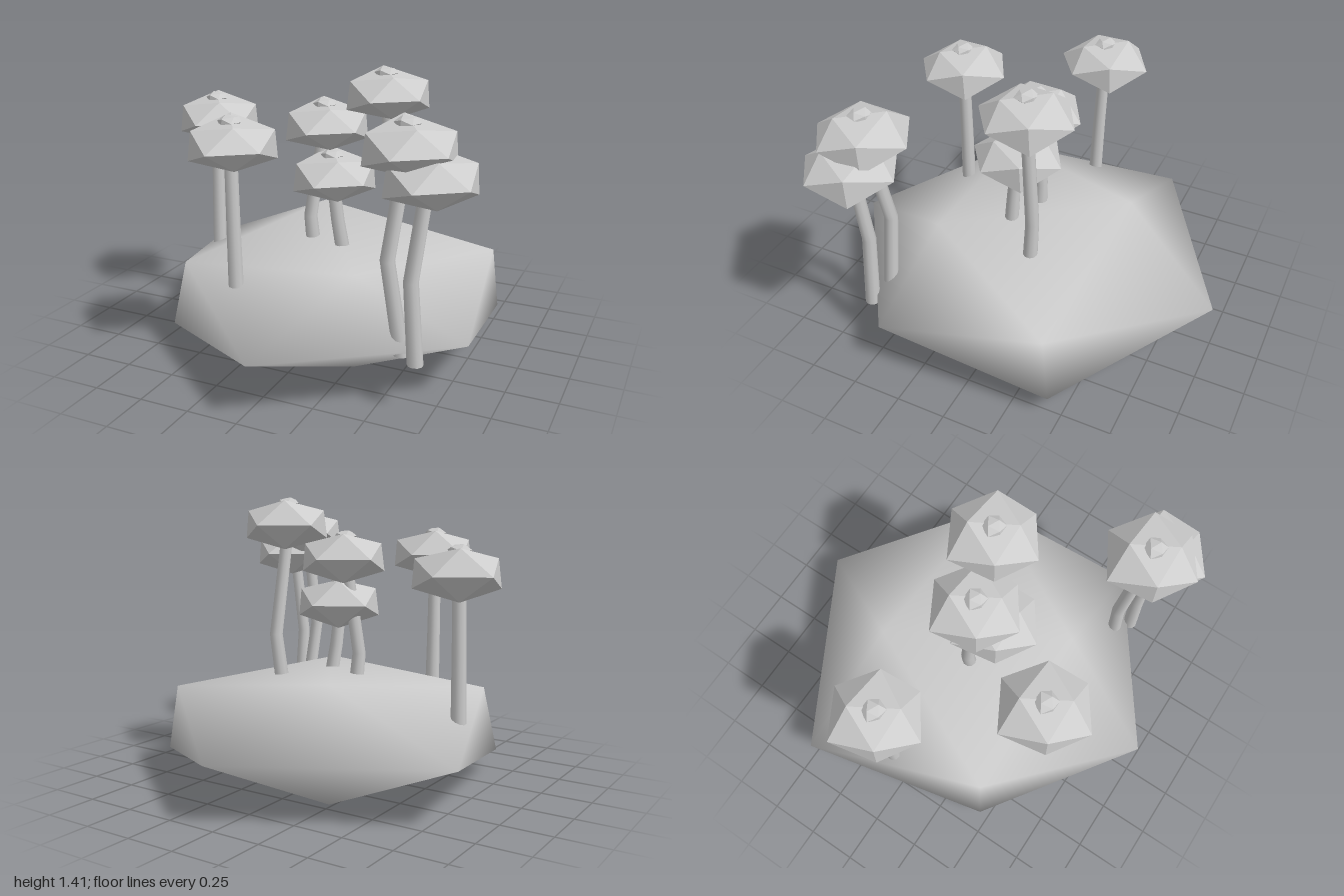
import * as THREE from 'three';
import { mergeVertices } from 'three/addons/utils/BufferGeometryUtils.js';
import { ConvexGeometry } from 'three/addons/geometries/ConvexGeometry.js';

// Squashed twenty-sided boulder, shared by the island, crowns and buds
const CORNERS = [
  [0.05, 0, -1], [0.05, 0, 0.99], [0.86, 0, 0.42], [-0.9, 0, -0.47],
  [0.3, 0.235, 0.4], [0.3, -0.235, 0.4], [-0.23, 0.285, -0.445], [-0.23, -0.285, -0.445],
  [-0.61, 0.16, 0.42], [-0.67, -0.17, 0.46], [0.75, 0.155, -0.4], [0.78, -0.17, -0.44],
];

function boulder(radius, height) {
  return new ConvexGeometry(CORNERS.map(([x, y, z]) => new THREE.Vector3(x * radius, y * height, z * radius)));
}

// Tapered cylinder whose three rings follow the foot, bend and top points
function trunkGeometry(path) {
  const geo = new THREE.CylinderGeometry(0.031, 0.037, 1, 10, 2);
  const pos = geo.attributes.position;
  for (let i = 0; i < pos.count; i++) {
    const p = path[Math.round((pos.getY(i) + 0.5) * 2)];
    pos.setXYZ(i, pos.getX(i) + p[0], p[1], pos.getZ(i) + p[2]);
  }
  return geo;
}

// crown centre, then trunk foot and bend
const TREES = [
  { crown: [-0.7, 1.08, -0.085], foot: [-0.7, 0.36, -0.06], bend: [-0.7, 0.7, -0.07] },
  { crown: [-0.26, 1.12, 0.53], foot: [-0.255, 0.425, 0.53], bend: [-0.258, 0.7, 0.53] },
  { crown: [-0.03, 1.12, 0.005], foot: [-0.095, 0.52, 0.01], bend: [-0.108, 0.64, 0.01] },
  { crown: [0.255, 1.28, -0.085], foot: [0.285, 0.5, -0.115], bend: [0.303, 0.72, -0.135] },
  { crown: [0.04, 0.885, 0.07], foot: [0.105, 0.5, 0.08], bend: [0.075, 0.66, 0.08] },
  { crown: [0.6, 1.205, 0.565], foot: [0.585, 0.24, 0.53], bend: [0.51, 0.68, 0.53] },
  { crown: [0.7, 1.085, 0.58], foot: [0.67, 0.235, 0.585], bend: [0.638, 0.62, 0.58] },
];

export function createModel() {
  const model = new THREE.Group();
  model.name = 'treeIsland';
  const grey = new THREE.MeshStandardMaterial({ color: 0xcccccc });
  grey.name = 'light grey';

  const add = (parent, name, geometry, x = 0, y = 0, z = 0) => {
    const mesh = new THREE.Mesh(geometry, grey);
    mesh.name = name;
    mesh.position.set(x, y, z);
    parent.add(mesh);
    return mesh;
  };

  // Smooth-shaded island
  let islandGeo = boulder(1, 1);
  islandGeo.deleteAttribute('normal');
  islandGeo = mergeVertices(islandGeo, 1e-4);
  islandGeo.computeVertexNormals();
  add(model, 'island', islandGeo, 0, 0.287, 0);

  // Trees: bent trunk, faceted crown and a small bud on top
  const crownGeo = boulder(0.24, 0.42);
  const budGeo = boulder(0.06, 0.1);
  TREES.forEach(({ crown, foot, bend }, i) => {
    const tree = new THREE.Group();
    tree.name = `tree${i + 1}`;
    model.add(tree);
    const [x, y, z] = crown;
    add(tree, 'trunk', trunkGeometry([foot, bend, crown]));
    add(tree, 'crown', crownGeo, x, y, z);
    add(tree, 'bud', budGeo, x, y + 0.104, z).rotation.y = 0.6;
  });
  return model;
}
